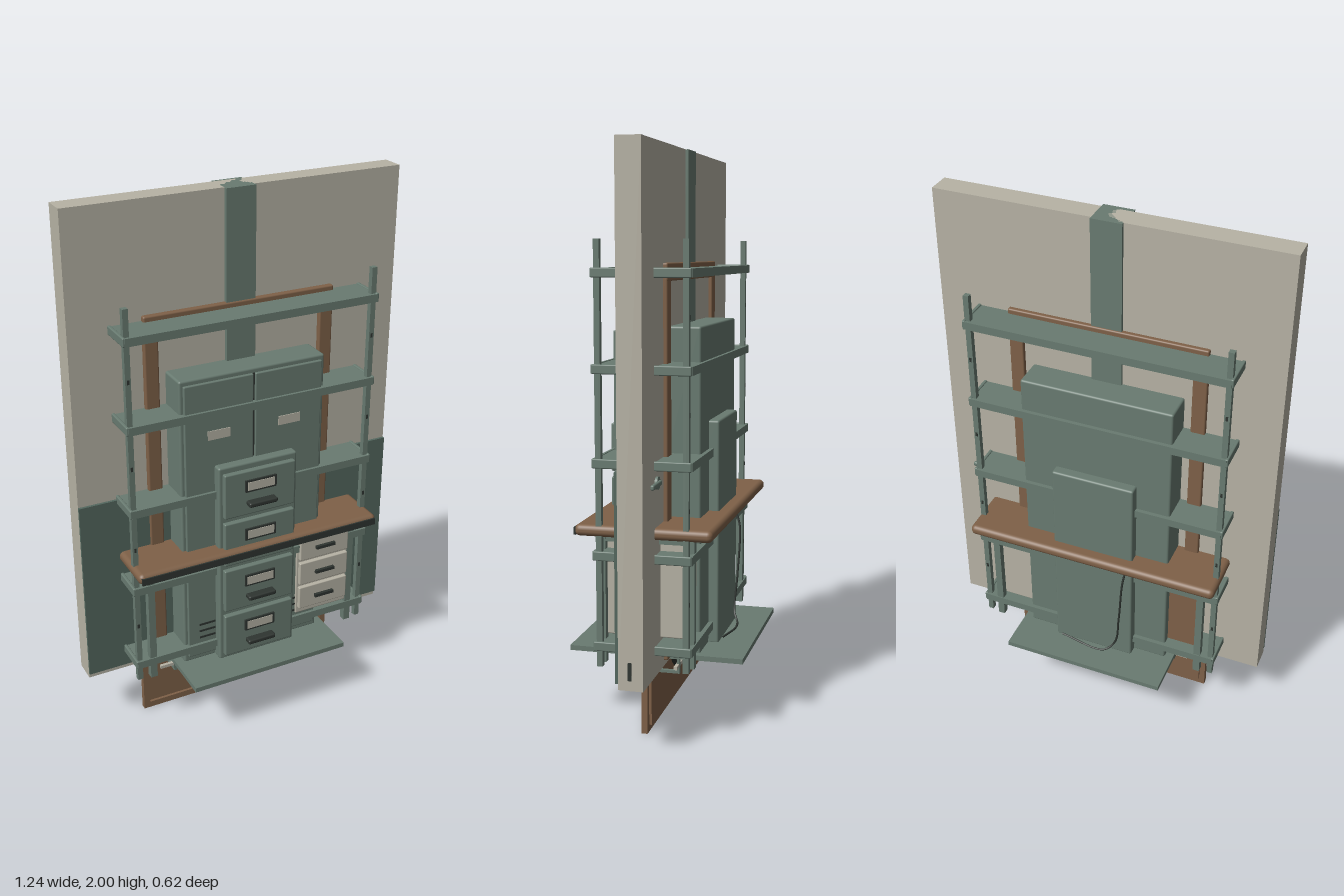
import * as THREE from 'three';
import { RoundedBoxGeometry } from 'three/addons/geometries/RoundedBoxGeometry.js';

const mat = (name, color) => {
  const m = new THREE.MeshStandardMaterial({ color });
  m.name = name;
  return m;
};

export function createModel() {
  const green = mat('sage green', 0x697b71);
  const deepGreen = mat('deep green', 0x54685f);
  const cream = mat('cream', 0xb7b3a5);
  const brown = mat('wood brown', 0x7f6148);
  const dark = mat('charcoal', 0x2f3531);
  const root = new THREE.Group();
  root.name = 'officeSet';

  const group = (name) => {
    const g = new THREE.Group();
    g.name = name;
    root.add(g);
    return g;
  };
  const add = (parent, name, geo, material, x = 0, y = 0, z = 0) => {
    const m = new THREE.Mesh(geo, material);
    m.name = name;
    m.position.set(x, y, z);
    parent.add(m);
    return m;
  };
  // Box given by its limits on each axis; r rounds the edges
  const box = (parent, name, material, x0, x1, y0, y1, z0, z1, r = 0) => {
    const s = [x1 - x0, y1 - y0, z1 - z0];
    const geo = r ? new RoundedBoxGeometry(...s, 3, r) : new THREE.BoxGeometry(...s);
    return add(parent, name, geo, material, (x0 + x1) / 2, (y0 + y1) / 2, (z0 + z1) / 2);
  };
  const sides = [-1, 1];

  // Wall slab with painted lower half and a central pilaster
  const wall = group('wall');
  box(wall, 'wallSlab', cream, -0.62, 0.62, 0.235, 2, -0.045, 0.04);
  box(wall, 'lowerPanel', deepGreen, -0.62, 0.62, 0.255, 0.955, 0.04, 0.05);
  box(wall, 'pilaster', green, -0.055, 0.055, 0.235, 2, -0.055, 0.055);
  box(wall, 'latchPlate', dark, 0.618, 0.624, 0.27, 0.33, -0.006, 0.006);

  // Door frame around both faces of the wall
  const frame = group('doorFrame');
  for (const s of sides) box(frame, 'doorJamb', brown, s * 0.335 - 0.026, s * 0.335 + 0.026, 0.255, 1.61, -0.06, 0.058, 0.006);
  box(frame, 'doorHead', brown, -0.361, 0.361, 1.552, 1.612, -0.061, 0.059, 0.006);

  // Lever handles
  for (const s of sides) {
    const handle = group('doorHandle');
    box(handle, 'lever', green, 0.44, 0.545, 0.886, 0.904, s * 0.056 - 0.007, s * 0.056 + 0.007, 0.006);
    const rose = add(handle, 'rose', new THREE.CylinderGeometry(0.022, 0.022, 0.012, 20), green, 0.455, 0.895, s * 0.048);
    rose.rotation.x = Math.PI / 2;
  }

  // Open shelving: four punched posts and five lipped shelves
  const shelving = group('shelving');
  for (const sx of sides) for (const sz of sides) {
    const x = sx * 0.463, z = sz * 0.15;
    box(shelving, 'post', green, x - 0.01, x + 0.01, 0.255, 1.69, z - 0.01, z + 0.01);
    for (let y = 0.49; y < 1.6; y += 0.3167) {
      box(shelving, 'postHole', dark, x - 0.004, x + 0.004, y - 0.008, y + 0.008, z + sz * 0.0105 - 0.001, z + sz * 0.0105 + 0.001);
    }
  }
  for (let i = 0; i < 5; i++) {
    const y = 0.327 + i * 0.3137;
    box(shelving, 'shelf', green, -0.472, 0.472, y - 0.012, y + 0.012, -0.165, 0.165);
    for (const s of sides) {
      box(shelving, 'shelfLip', green, -0.474, 0.474, y - 0.015, y + 0.014, s * 0.167 - 0.005, s * 0.167 + 0.005);
      box(shelving, 'shelfEnd', green, s * 0.474 - 0.006, s * 0.474 + 0.006, y - 0.016, y + 0.016, -0.17, 0.17, 0.004);
    }
  }

  // Tall two-door cupboard
  const cupboard = group('cupboard');
  box(cupboard, 'cupboardBody', green, -0.28, 0.28, 0.26, 1.4, -0.155, 0.148, 0.008);
  for (const s of sides) {
    box(cupboard, 'cupboardDoor', green, s * 0.135 - 0.131, s * 0.135 + 0.131, 0.285, 1.382, 0.145, 0.158, 0.004);
    box(cupboard, 'nameCard', cream, s * 0.137 - 0.043, s * 0.137 + 0.043, 1.168, 1.202, 0.157, 0.161);
    for (let i = 0; i < 3; i++) {
      const y = 0.363 + i * 0.028;
      box(cupboard, 'ventSlot', dark, s * 0.19 - 0.032, s * 0.19 + 0.032, y - 0.004, y + 0.004, 0.157, 0.16);
    }
  }
  box(cupboard, 'doorGap', dark, -0.004, 0.004, 0.285, 1.382, 0.146, 0.15);

  // Four-drawer filing cabinet
  const filing = group('filingCabinet');
  box(filing, 'filingBody', green, -0.155, 0.155, 0.26, 1.066, -0.192, 0.19, 0.008);
  for (let i = 0; i < 4; i++) {
    const y = 0.37 + i * 0.195;
    box(filing, 'fileDrawer', green, -0.14, 0.14, y - 0.087, y + 0.087, 0.185, 0.208, 0.005);
    box(filing, 'labelFrame', dark, -0.061, 0.061, y + 0.007, y + 0.053, 0.207, 0.215);
    box(filing, 'label', cream, -0.053, 0.053, y + 0.014, y + 0.046, 0.214, 0.217);
    box(filing, 'drawerPull', dark, -0.056, 0.056, y - 0.046, y - 0.028, 0.205, 0.238, 0.006);
  }

  // Desk: rounded top with a dark front edge, legs and back panel
  const desk = group('desk');
  box(desk, 'deskTop', brown, -0.48, 0.48, 0.705, 0.745, -0.24, 0.235, 0.018);
  box(desk, 'frontEdge', dark, -0.472, 0.472, 0.708, 0.734, 0.231, 0.239);
  for (const sx of sides) {
    for (const sz of sides) box(desk, 'deskLeg', green, sx * 0.412 - 0.013, sx * 0.412 + 0.013, 0.255, 0.705, sz * 0.155 - 0.013, sz * 0.155 + 0.013);
    box(desk, 'footRail', green, sx * 0.412 - 0.011, sx * 0.412 + 0.011, 0.68, 0.705, -0.15, 0.15);
  }
  box(desk, 'modestyPanel', brown, -0.4, 0.18, 0.34, 0.705, -0.125, -0.11);

  // Three-drawer pedestal
  const pedestal = group('pedestal');
  box(pedestal, 'pedestalBody', cream, 0.18, 0.402, 0.35, 0.692, -0.14, 0.165, 0.005);
  for (let i = 0; i < 3; i++) {
    const y = 0.423 + i * 0.107;
    box(pedestal, 'pedestalDrawer', cream, 0.188, 0.395, y - 0.047, y + 0.047, 0.16, 0.18, 0.004);
    box(pedestal, 'pedestalPull', dark, 0.252, 0.332, y - 0.006, y + 0.006, 0.178, 0.192);
  }

  // Power cord behind the filing cabinet
  const cord = new THREE.CatmullRomCurve3([
    [-0.13, 0.69, -0.19], [-0.125, 0.64, -0.21], [-0.11, 0.45, -0.207],
    [-0.09, 0.31, -0.2], [-0.05, 0.275, -0.22], [0.13, 0.275, -0.2],
  ].map((p) => new THREE.Vector3(...p)));
  add(root, 'powerCord', new THREE.TubeGeometry(cord, 40, 0.004, 6), dark);

  // Square light panel with a pale diffuser underneath
  const light = group('lightPanel');
  box(light, 'lightTray', green, -0.312, 0.312, 0.247, 0.265, -0.312, 0.312);
  box(light, 'diffuser', cream, -0.285, 0.285, 0.241, 0.248, -0.285, 0.285);

  // Cable tray: two rails carried by U-shaped brackets
  const tray = group('cableTray');
  for (const s of sides) box(tray, 'trayRail', cream, -0.35, 0.33, 0.212, 0.224, s * 0.078 - 0.006, s * 0.078 + 0.006);
  for (let i = -2; i <= 2; i++) {
    const x = i * 0.145;
    box(tray, 'bracketBase', green, x - 0.007, x + 0.007, 0.188, 0.198, -0.085, 0.085);
    for (const s of sides) box(tray, 'bracketArm', green, x - 0.007, x + 0.007, 0.188, 0.245, s * 0.08 - 0.005, s * 0.08 + 0.005);
  }

  // Framed pin board with pinned notes
  const board = group('pinBoard');
  box(board, 'boardPanel', brown, -0.378, 0.378, 0.025, 0.475, -0.006, 0.016);
  for (const s of sides) {
    box(board, 'boardSide', brown, s * 0.388 - 0.012, s * 0.388 + 0.012, 0, 0.5, 0.003, 0.025);
    const y = 0.25 + s * 0.238;
    box(board, 'boardRail', brown, -0.4, 0.4, y - 0.012, y + 0.012, 0.003, 0.025);
  }
  box(board, 'noteLarge', cream, 0.16, 0.29, 0.14, 0.212, 0.016, 0.019);
  box(board, 'noteSmall', cream, 0.06, 0.115, 0.14, 0.2, 0.016, 0.019);

  // Round clock
  const clock = group('clock');
  clock.position.set(0, 0.255, 0);
  const disc = (name, r, d, m, z) => {
    add(clock, name, new THREE.CylinderGeometry(r, r, d, 48), m, 0, 0, z).rotation.x = Math.PI / 2;
  };
  disc('clockCase', 0.137, 0.05, dark, 0.005);
  disc('clockFace', 0.122, 0.006, cream, 0.031);
  for (let i = 0; i < 12; i++) {
    const a = (i * Math.PI) / 6;
    const tick = add(clock, 'hourMark', new THREE.BoxGeometry(0.007, 0.022, 0.003), dark, Math.sin(a) * 0.104, Math.cos(a) * 0.104, 0.035);
    tick.rotation.z = -a;
  }
  return root;
}
